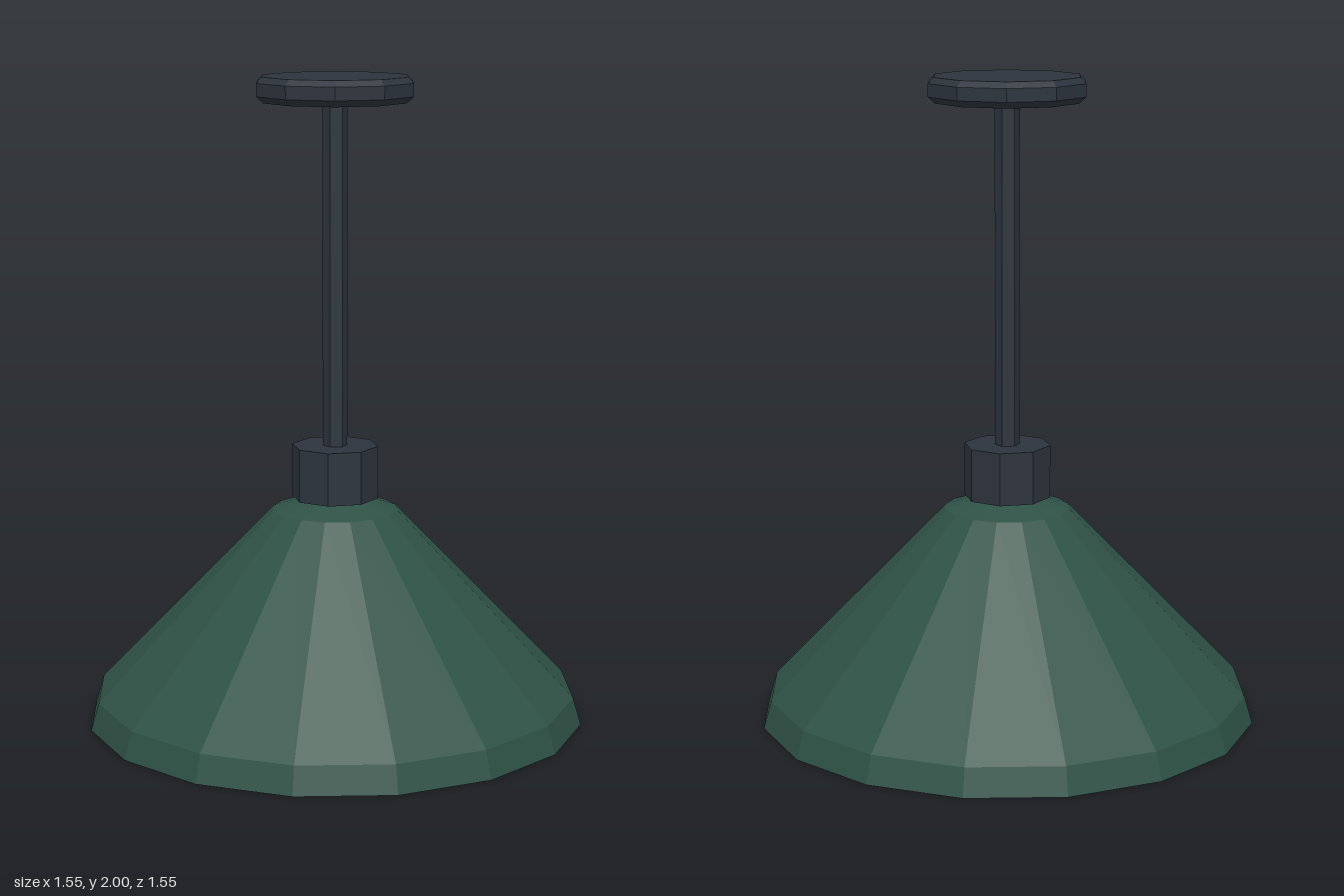
import * as THREE from 'three';

export function createModel() {
  const group = new THREE.Group();
  group.name = 'pendantLamp';

  const flat = (name, color, side = THREE.FrontSide) =>
    new THREE.MeshStandardMaterial({ name, color, side, flatShading: true });
  const green = flat('greenEnamel', 0x2f5246, THREE.DoubleSide);
  const metal = flat('darkMetal', 0x2d343d);
  const glow = flat('warmGlass', 0xdcc08a);

  // Faceted turned part; profile is [radius, y] from bottom to top
  function turned(name, profile, sides, material) {
    const points = profile.map(([r, y]) => new THREE.Vector2(r, y));
    const mesh = new THREE.Mesh(new THREE.LatheGeometry(points, sides), material);
    mesh.name = name;
    group.add(mesh);
  }

  // Thin open shade with a steeper lip and a shallow crown
  turned('shade', [[0.775, 0], [0.75, 0.085], [0.195, 0.665], [0.09, 0.7]], 16, green);

  // Socket, rod and ceiling plate
  turned('socket', [[0, 0.7], [0.135, 0.7], [0.135, 0.865], [0, 0.865]], 8, metal);
  turned('rod', [[0.038, 0.85], [0.038, 1.93]], 6, metal);
  turned('ceilingPlate',
    [[0, 1.922], [0.225, 1.922], [0.248, 1.942], [0.248, 1.982], [0.23, 2], [0, 2]], 10, metal);

  // Round bulb narrowing to a neck inside the socket
  const bulb = [];
  for (let i = 0; i <= 5; i++) {
    const a = (i / 7) * Math.PI;
    bulb.push([0.22 * Math.sin(a), 0.25 - 0.22 * Math.cos(a)]);
  }
  bulb.push([0.08, 0.52], [0.07, 0.71]);
  turned('bulb', bulb, 10, glow);

  return group;
}
